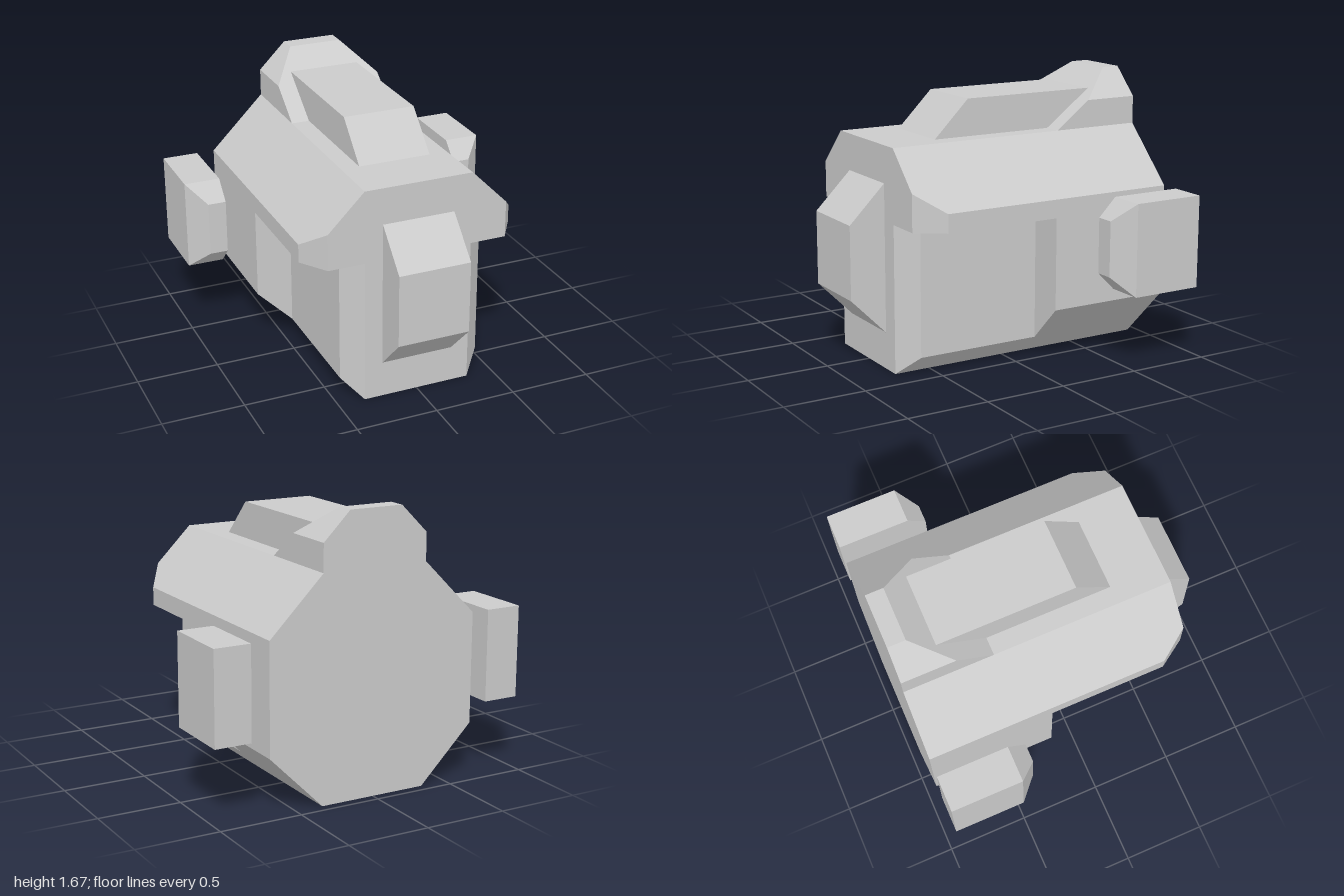
import * as THREE from 'three';
import { ConvexGeometry } from 'three/addons/geometries/ConvexGeometry.js';

const UNIT = 1 / 9; // everything is laid out on a grid of ninths
const material = new THREE.MeshStandardMaterial({ color: 0xcccccc, flatShading: true });

// Faceted solid around a set of grid points
function solid(name, points) {
  const geometry = new ConvexGeometry(points.map((p) => new THREE.Vector3(...p)));
  geometry.scale(UNIT, UNIT, UNIT);
  const mesh = new THREE.Mesh(geometry, material);
  mesh.name = name;
  return mesh;
}

// Adds the mirrored half across x = 0
const mirrored = (points) => points.flatMap(([x, y, z]) => [[x, y, z], [-x, y, z]]);

// Runs a half outline [x, y] from z0 to z1
const run = (outline, z0, z1) => outline.flatMap(([x, y]) => [[x, y, z0], [x, y, z1]]);

// Side profile [y, z] given a half width
const slab = (halfWidth, profile) => mirrored(profile.map(([y, z]) => [halfWidth, y, z]));

export function createModel() {
  const model = new THREE.Group();
  model.name = 'model';
  const back = -8.5, front = 6.5, step = -1.5;

  // Wide lower hull at the rear
  model.add(solid('rearHull', mirrored(run([[3, 0], [6, 3], [6, 8]], back, step))));

  // Narrower lower hull at the front, with bevelled front corners
  model.add(solid('frontHull', mirrored([
    ...run([[3, 0], [3, 8]], step, front),
    ...run([[4, 1], [4, 8]], step, 5.5),
  ])));

  // Full-length upper hull overhanging the front, corners cut off
  model.add(solid('upperHull', mirrored([
    [6, 8, back], [6, 9, back], [3, 12, back],
    [6, 8, 5], [6, 9, 5],
    [5, 8, front], [5, 10, front], [3, 12, front],
  ])));

  // Raised tail block with a sloping front
  model.add(solid('tailBlock', mirrored([
    [3, 12, back], [3, 13.5, back], [1.5, 15, back],
    [3, 12, -3.5], [3, 13.5, -5.5], [1.5, 15, -7.5],
  ])));

  // Long roof block, its rear end set into the tail block
  model.add(solid('roofBlock', slab(2, [[12, 3.5], [14, 1.5], [14, -7], [12, -7]])));

  // Nose block on the front face
  model.add(solid('noseBlock', slab(2, [[2, 6.5], [4, 8.5], [8, 8.5], [10, 6.5]])));

  // Detached side pods, bevelled towards the front
  for (const side of [1, -1]) {
    const pod = [
      ...run([[7, 4], [9, 4], [9, 9], [7, 9]], back, -4.5),
      [7, 5, -3.5], [8, 5, -3.5], [8, 8, -3.5], [7, 8, -3.5],
    ];
    model.add(solid(side > 0 ? 'leftPod' : 'rightPod', pod.map(([x, y, z]) => [x * side, y, z])));
  }

  return model;
}
